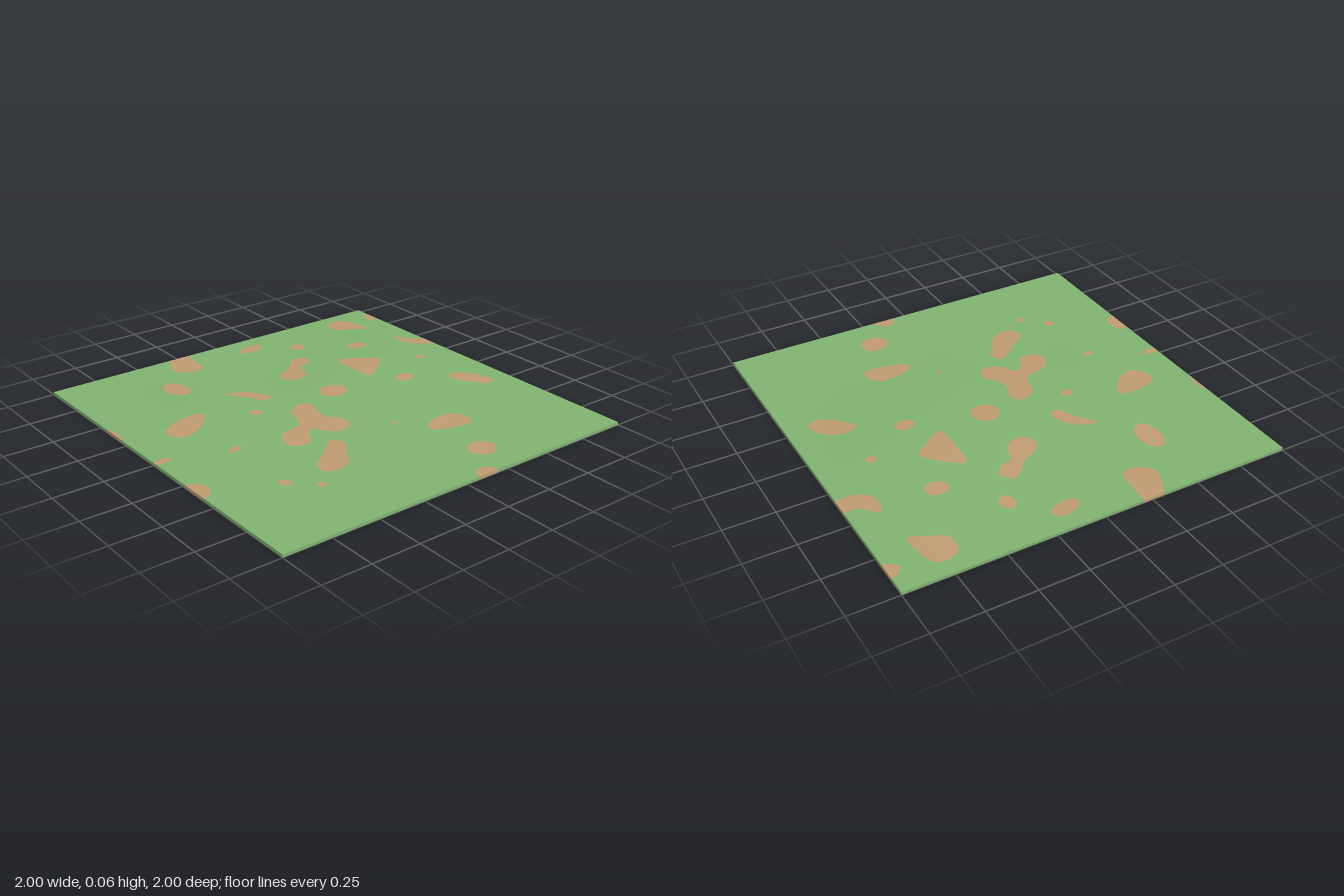
import * as THREE from 'three';

const BASE = 0.015;

// Low hills: x, z, height, spread in x, spread in z
const HILLS = [
  [-0.22, -0.62, 0.040, 0.38, 0.25],
  [0.0, -0.07, 0.027, 0.34, 0.24],
  [-0.2, 0.57, 0.027, 0.36, 0.21],
];

// Ground height, fading to the slab thickness at the borders
function height(x, z) {
  let h = 0;
  for (const [cx, cz, a, sx, sz] of HILLS) {
    h += a * Math.exp(-(((x - cx) / sx) ** 2 + ((z - cz) / sz) ** 2) / 2);
  }
  return BASE + h * Math.max(0, (1 - x ** 8) * (1 - z ** 8));
}

function groundNormal(x, z) {
  const e = 0.005;
  return new THREE.Vector3(
    (height(x - e, z) - height(x + e, z)) / (2 * e), 1,
    (height(x, z - e) - height(x, z + e)) / (2 * e)).normalize();
}

// Bare soil patches: smooth closed outlines in x, z
function soilOutlines() {
  const outlines = [];
  const blob = (...c) => {
    const pts = [];
    for (let i = 0; i < c.length; i += 2) pts.push(new THREE.Vector3(c[i], 0, c[i + 1]));
    outlines.push(new THREE.CatmullRomCurve3(pts, true).getPoints(40));
  };
  const oval = (x, z, rx, rz, tilt = 0) => {
    const pts = [];
    for (let i = 0; i <= 24; i++) {
      const a = (i / 24) * Math.PI * 2;
      const u = Math.cos(a) * rx, v = Math.sin(a) * rz;
      pts.push(new THREE.Vector3(
        x + u * Math.cos(tilt) - v * Math.sin(tilt), 0,
        z + u * Math.sin(tilt) + v * Math.cos(tilt)));
    }
    outlines.push(pts);
  };
  // back
  blob(-0.91, -1.05, -0.82, -1.05, -0.82, -0.97, -0.86, -0.935, -0.9, -0.97);
  blob(-0.91, -0.8, -0.82, -0.83, -0.71, -0.835, -0.75, -0.76, -0.79, -0.68, -0.85, -0.665, -0.91, -0.7);
  blob(-0.51, -0.86, -0.43, -0.94, -0.41, -1.03, -0.33, -1.03, -0.345, -0.9, -0.42, -0.84);
  blob(0.1, -0.73, 0.12, -0.81, 0.2, -0.875, 0.27, -0.88, 0.285, -0.82, 0.2, -0.73, 0.13, -0.69);
  oval(-0.16, -0.745, 0.03, 0.025);
  oval(-0.5, -0.58, 0.045, 0.06, 0.2);
  blob(-0.395, -0.37, -0.32, -0.49, -0.25, -0.545, -0.2, -0.49, -0.12, -0.365, -0.25, -0.355);
  oval(0.005, -0.49, 0.042, 0.052);
  oval(-0.72, -0.34, 0.047, 0.04);
  blob(0.44, -0.4, 0.5, -0.455, 0.57, -0.44, 0.57, -0.35, 0.52, -0.22, 0.47, -0.24);
  // middle
  oval(0.8, -0.28, 0.067, 0.075);
  oval(-0.87, -0.13, 0.042, 0.08, -0.2);
  blob(-0.59, -0.22, -0.54, -0.275, -0.49, -0.25, -0.46, -0.17, -0.37, -0.14,
    -0.335, -0.05, -0.39, 0, -0.45, -0.03, -0.5, -0.12);
  oval(-0.09, -0.1, 0.07, 0.073);
  oval(0.37, -0.115, 0.03, 0.011);
  oval(1.0, -0.13, 0.062, 0.06);
  blob(-0.07, 0.11, -0.02, 0.08, 0.06, 0.11, 0.13, 0.1, 0.2, 0.05, 0.28, 0.09, 0.26, 0.18,
    0.18, 0.23, 0.21, 0.28, 0.28, 0.31, 0.28, 0.4, 0.22, 0.43, 0.14, 0.38, 0.1, 0.25, -0.03, 0.21);
  blob(0.32, 0.23, 0.38, 0.2, 0.46, 0.25, 0.53, 0.29, 0.57, 0.36, 0.55, 0.44, 0.48, 0.44, 0.42, 0.36, 0.35, 0.28);
  blob(-0.42, 0.37, -0.38, 0.25, -0.3, 0.19, -0.23, 0.18, -0.23, 0.23, -0.32, 0.28, -0.38, 0.33);
  oval(-0.125, 0.35, 0.028, 0.035);
  // front
  blob(-1.03, 0.21, -0.9, 0.21, -0.79, 0.23, -0.79, 0.32, -0.85, 0.375, -0.93, 0.35, -1.03, 0.28);
  oval(-0.62, 0.5, 0.098, 0.06);
  blob(-0.27, 0.57, -0.2, 0.6, -0.13, 0.68, -0.11, 0.76, -0.17, 0.81, -0.23, 0.8, -0.28, 0.68);
  oval(0.14, 0.65, 0.02, 0.038, -0.3);
  oval(0.525, 0.645, 0.036, 0.026, -0.6);
  oval(0.635, 0.525, 0.028, 0.022, -0.5);
  oval(-0.36, 1.0, 0.07, 0.018);
  oval(0.015, 0.96, 0.022, 0.05);
  oval(0.35, 0.99, 0.075, 0.06);
  return outlines;
}

// Signed distance to the nearest patch border, positive inside a patch
function soilField(outlines, x, z) {
  let best = -Infinity;
  for (const pts of outlines) {
    let d2 = Infinity, inside = false;
    for (let i = 1; i < pts.length; i++) {
      const a = pts[i - 1], b = pts[i];
      const ex = b.x - a.x, ez = b.z - a.z;
      const t = Math.min(1, Math.max(0, ((x - a.x) * ex + (z - a.z) * ez) / (ex * ex + ez * ez || 1)));
      d2 = Math.min(d2, (x - a.x - t * ex) ** 2 + (z - a.z - t * ez) ** 2);
      if ((a.z > z) !== (b.z > z) && x < a.x + ((z - a.z) / ez) * ex) inside = !inside;
    }
    best = Math.max(best, inside ? Math.sqrt(d2) : -Math.sqrt(d2));
  }
  return best;
}

export function createModel() {
  const grass = new THREE.MeshStandardMaterial({ color: 0x7fb270 });
  grass.name = 'grass green';
  const soil = new THREE.MeshStandardMaterial({ color: 0xbf9b70 });
  soil.name = 'soil tan';

  const model = new THREE.Group();
  model.name = 'groundTile';
  const outlines = soilOutlines();

  // Keep the part of a triangle that lies on one side of the patch border
  function clip(tri, sign, out) {
    const poly = [];
    tri.forEach((a, i) => {
      const b = tri[(i + 1) % 3];
      if (sign * a.f >= 0) poly.push(a);
      if (a.f * b.f < 0) {
        const t = a.f / (a.f - b.f);
        poly.push({ p: a.p.clone().lerp(b.p, t), n: a.n.clone().lerp(b.n, t).normalize() });
      }
    });
    for (let i = 2; i < poly.length; i++) {
      for (const v of [poly[0], poly[i - 1], poly[i]]) {
        out.pos.push(...v.p.toArray());
        out.nor.push(...v.n.toArray());
      }
    }
  }

  // One surface over u, v in 0..1, split into a grass mesh and a soil mesh
  function surface(name, nu, nv, point, normal) {
    const grid = [];
    for (let j = 0; j <= nv; j++) {
      for (let i = 0; i <= nu; i++) {
        const p = point(i / nu, j / nv);
        grid.push({ p, n: normal(p), f: soilField(outlines, p.x, p.z) });
      }
    }
    const parts = { Grass: [-1, grass], Soil: [1, soil] };
    const tris = [];
    for (let j = 0; j < nv; j++) {
      for (let i = 0; i < nu; i++) {
        const k = j * (nu + 1) + i;
        const a = grid[k], b = grid[k + 1], c = grid[k + nu + 2], d = grid[k + nu + 1];
        tris.push([a, b, c], [a, c, d]);
      }
    }
    for (const tri of tris) {
      const [a, b, c] = tri;
      const n = b.p.clone().sub(a.p).cross(c.p.clone().sub(a.p));
      if (n.dot(a.n) < 0) tri.reverse();
    }
    for (const [label, [sign, material]] of Object.entries(parts)) {
      const out = { pos: [], nor: [] };
      for (const tri of tris) clip(tri, sign, out);
      if (!out.pos.length) continue;
      const g = new THREE.BufferGeometry();
      g.setAttribute('position', new THREE.Float32BufferAttribute(out.pos, 3));
      g.setAttribute('normal', new THREE.Float32BufferAttribute(out.nor, 3));
      const mesh = new THREE.Mesh(g, material);
      mesh.name = name + label;
      model.add(mesh);
    }
  }

  const V = (x, y, z) => new THREE.Vector3(x, y, z);
  const s = (t) => t * 2 - 1;

  // Rolling top and flat underside
  surface('top', 100, 100, (u, v) => V(s(u), height(s(u), s(v)), s(v)), (p) => groundNormal(p.x, p.z));
  surface('underside', 100, 100, (u, v) => V(s(u), 0, s(v)), () => V(0, -1, 0));

  // Thin side walls
  for (const [side, k] of [['left', 1], ['right', -1]]) {
    surface(side + 'Edge', 100, 1, (u, v) => V(k, v * BASE, s(u)), () => V(k, 0, 0));
  }
  for (const [side, k] of [['front', 1], ['back', -1]]) {
    surface(side + 'Edge', 100, 1, (u, v) => V(s(u), v * BASE, k), () => V(0, 0, k));
  }
  return model;
}
